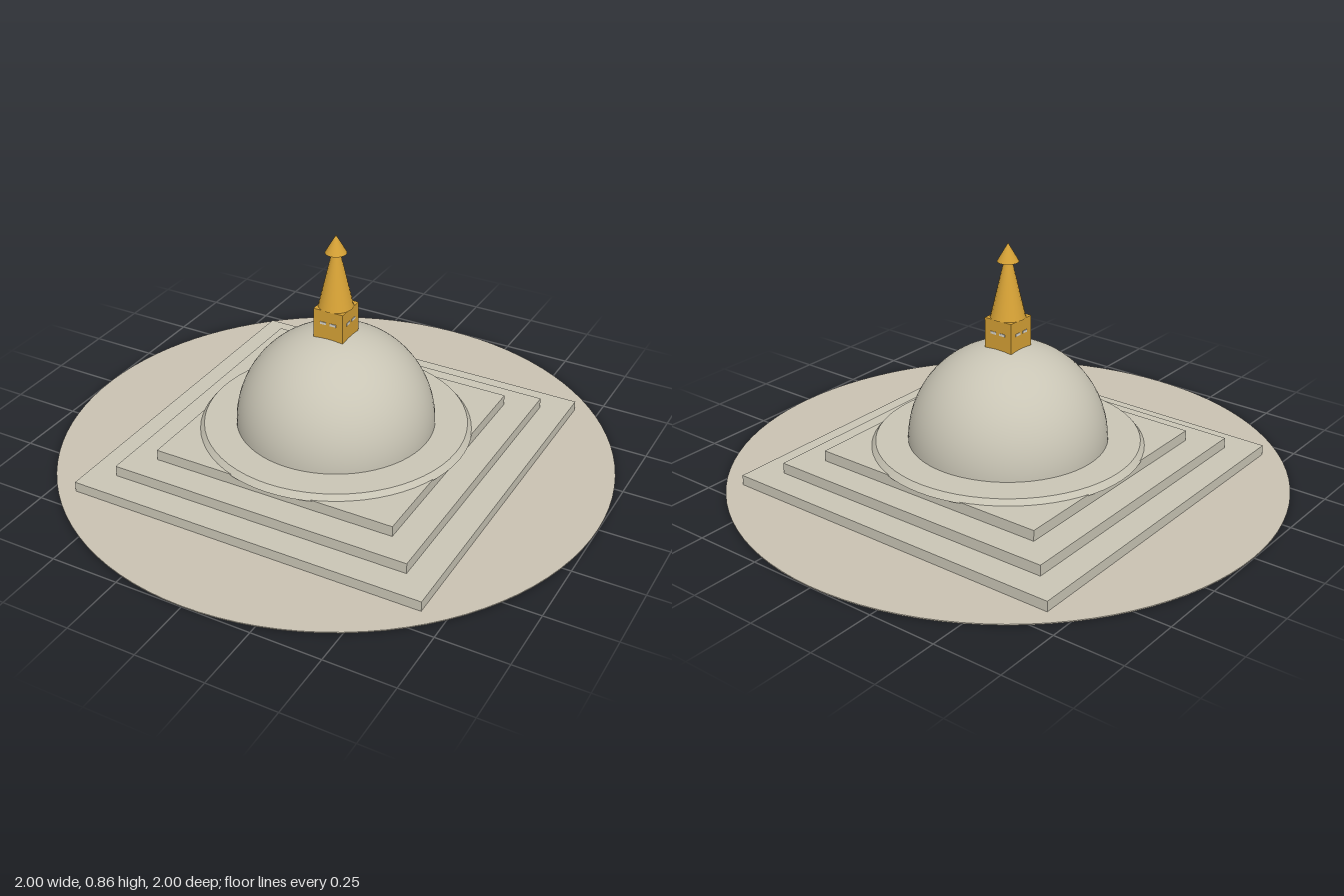
import * as THREE from 'three';

export function createModel() {
  const group = new THREE.Group();
  const mat = (name, color) => {
    const m = new THREE.MeshStandardMaterial({ color });
    m.name = name;
    return m;
  };
  const stone = mat('pale stone', 0xc9c5b5);
  const paving = mat('warm paving', 0xc9c2b2);
  const gold = mat('gold', 0xd4a035);
  const paint = mat('pale paint', 0xd8d4c8);

  const add = (name, geometry, material, y = 0, parent = group) => {
    const mesh = new THREE.Mesh(geometry, material);
    mesh.name = name;
    mesh.position.y = y;
    parent.add(mesh);
    return mesh;
  };

  // Round courtyard and three square terraces
  add('courtyard', new THREE.CylinderGeometry(1, 1, 0.004, 96), paving, 0.002);
  [0.665, 0.563, 0.459].forEach((half, i) => {
    add('terrace' + (i + 1), new THREE.BoxGeometry(half * 2, 0.039, half * 2), stone, 0.0215 + i * 0.039);
  });

  // Bevelled plinth and hemispherical dome
  add('plinth', new THREE.CylinderGeometry(0.47, 0.487, 0.022, 64), stone, 0.127);
  add('dome', new THREE.SphereGeometry(0.355, 64, 32, 0, Math.PI * 2, 0, Math.PI / 2), stone, 0.138);

  // Square gold tower with a pair of eyes on each side
  add('tower', new THREE.BoxGeometry(0.114, 0.11, 0.114), gold, 0.54);
  for (let side = 0; side < 4; side++) {
    const face = new THREE.Group();
    face.name = 'eyes';
    face.rotation.y = side * Math.PI / 2;
    group.add(face);
    for (const x of [-0.019, 0.019]) {
      const eye = add('eye', new THREE.BoxGeometry(0.024, 0.009, 0.004), paint, 0.547, face);
      eye.position.x = x;
      eye.position.z = 0.057;
    }
  }

  // Spire of thirteen tapering rings
  const rings = 13, bottom = 0.595, step = 0.0158;
  for (let i = 0; i < rings; i++) {
    const r = 0.062 - i * 0.0037;
    add('spireRing', new THREE.CylinderGeometry(r - 0.005, r, step, 24), gold, bottom + step * (i + 0.5));
  }

  // Pointed finial
  add('finial', new THREE.ConeGeometry(0.038, 0.066, 24), gold, 0.828);
  return group;
}
